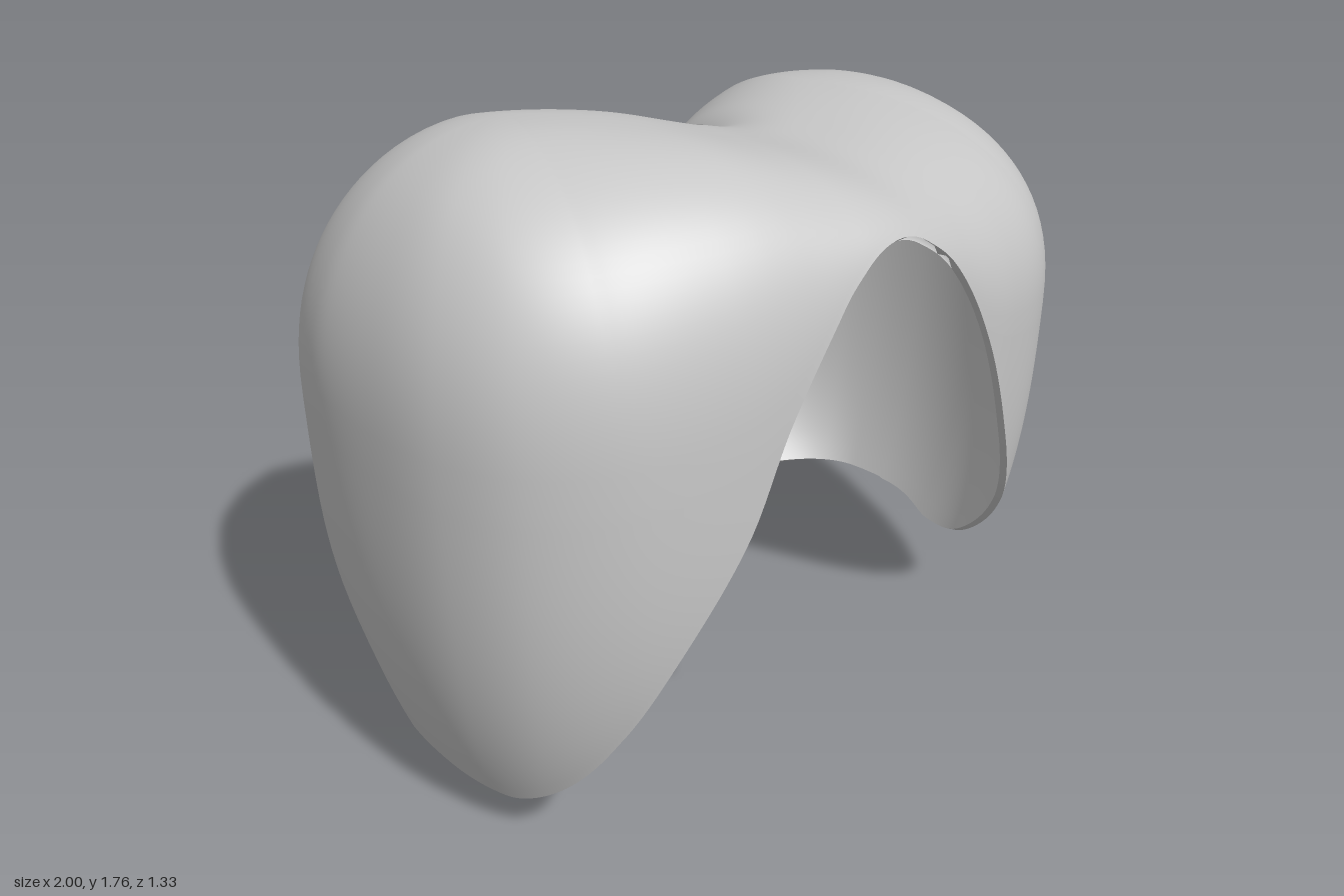
import * as THREE from 'three';
import { mergeVertices } from 'three/addons/utils/BufferGeometryUtils.js';

const { clamp, lerp, smoothstep } = THREE.MathUtils;

// Smooth lookup in a short list of [x, y] pairs
function lookup(table, x) {
  const last = table.length - 1;
  let i = 1;
  while (i < last && x > table[i][0]) i++;
  const slope = (k) => {
    const a = table[Math.max(0, k - 1)], b = table[Math.min(last, k + 1)];
    return (b[1] - a[1]) / (b[0] - a[0]);
  };
  const [x0, y0] = table[i - 1], [x1, y1] = table[i], w = x1 - x0;
  const t = clamp((x - x0) / w, 0, 1), s = 1 - t;
  return s * s * ((1 + 2 * t) * y0 + t * w * slope(i - 1)) + t * t * ((3 - 2 * t) * y1 - s * w * slope(i));
}

// Kidney-shaped plan [x, z]: front edge from -x to +x, then back edge from +x to -x
const PLAN = [
  [-1, 0], [-0.98, 0.22], [-0.9, 0.4], [-0.74, 0.54], [-0.48, 0.63], [-0.23, 0.658], [0, 0.66],
  [0.25, 0.66], [0.47, 0.64], [0.69, 0.57], [0.87, 0.41], [0.965, 0.19], [0.995, -0.05],
  [0.95, -0.32], [0.8, -0.57], [0.55, -0.67], [0.28, -0.52], [0.14, -0.22], [0, -0.19],
  [-0.2, -0.36], [-0.4, -0.61], [-0.6, -0.67], [-0.84, -0.54], [-0.965, -0.28],
];
// Crown height, and height of the lower rim, across x
const CROWN = [[-1, 1.7], [-0.8, 1.745], [-0.53, 1.762], [-0.3, 1.735], [-0.1, 1.675], [0.1, 1.615],
  [0.25, 1.603], [0.5, 1.6], [0.75, 1.595], [1, 1.57]];
const FRONT_RIM = [[-1, 0.15], [-0.94, 0.15], [-0.8, 0.3], [-0.62, 0.65], [-0.45, 0.95], [-0.35, 1.19],
  [-0.2, 1.42], [-0.12, 1.49], [-0.05, 1.52], [0.03, 1.52], [0.1, 1.49], [0.2, 1.4], [0.35, 1.15],
  [0.5, 0.82], [0.67, 0.5], [0.85, 0.24], [0.95, 0.17], [1, 0.2]];
const BACK_RIM = [[-1, 0.15], [-0.68, 0.17], [-0.58, 0.28], [-0.46, 0.5], [-0.38, 0.58], [-0.3, 0.6],
  [-0.22, 0.55], [-0.16, 0.45], [-0.13, 0.32], [-0.105, 0.5], [-0.08, 0.7], [-0.03, 0.83], [0.04, 0.86],
  [0.1, 0.84], [0.135, 0.74], [0.15, 0.48], [0.2, 0.6], [0.27, 0.68], [0.35, 0.64], [0.45, 0.5],
  [0.58, 0.3], [0.69, 0.2], [1, 0.2]];
// Openings: centre and radius
const HOLES = [
  [new THREE.Vector3(-0.12, 1.665, 0), 0.1],
  [new THREE.Vector3(0.04, 1.52, -0.152), 0.063],
];
const HALF = 192, DOME_ROWS = 26, WALL_ROWS = 20, THICKNESS = 0.02;

// Crown height at a point, falling away towards the back
function crown(x, z) {
  const fall = lerp(0.35, 0.2, smoothstep(x, -0.1, 0.3));
  return lookup(CROWN, x) - fall * Math.max(0, 0.1 - z) ** 2;
}

// One rib of the dome: from the crown ridge out and down to the rim
function rib(i, outline) {
  const front = i <= HALF;
  const t = front ? i / HALF : (2 * HALF - i) / HALF;
  const sx = -0.5 + clamp((t - 0.25) / 0.5, 0, 1);
  const sz = 0.22 - 1.28 * sx * sx;
  const o = outline.getPoint(i / (2 * HALF));
  const rim = lookup(front ? FRONT_RIM : BACK_RIM, o.x);
  const back = smoothstep(-o.z, 0.2, 0.6);
  const notch = 1 - smoothstep(Math.abs(o.x), 0.13, 0.37);
  const width = lerp(0.21, 0.3, smoothstep(o.z, -0.2, 0.4));
  const shoulder = 1.1 + 0.32 * Math.exp(-((o.x / width) ** 2)) - 0.1 * back;
  const power = 2 / (2.5 + 0.3 * smoothstep(o.z, -0.2, 0.4) * smoothstep(-o.x, 0, 0.4));
  const cut = Math.max(0, (rim - shoulder) / (crown(o.x, o.z) - shoulder));
  const end = Math.acos(Math.min(1, cut ** (1 / power)));
  const points = [];
  const add = (r, y) => points.push(new THREE.Vector3(sx + (o.x - sx) * r, y, sz + (o.z - sz) * r));
  for (let j = 0; j <= DOME_ROWS; j++) {
    const a = end * j / DOME_ROWS;
    const r = Math.sin(a) ** power;
    const top = crown(lerp(sx, o.x, r), lerp(sz, o.z, r));
    add(r, shoulder + (top - shoulder) * Math.max(0, Math.cos(a)) ** power);
  }
  const start = points[DOME_ROWS].y, r0 = Math.sin(end) ** power;
  for (let j = 1; j <= WALL_ROWS; j++) {
    const y = start + (Math.min(rim, start) - start) * j / WALL_ROWS;
    const q = Math.max(0, (1.2 - y) / 1.05);
    const lobeTaper = lerp(0.25 * q ** 3, 0.46 * q ** 5, back);
    add(r0 * (1 - lerp(lobeTaper, 0.65 * q ** 1.3, notch)), y);
  }
  return points;
}

// Outer skin as an indexed grid with the openings cut out
function outerSkin() {
  const outline = new THREE.CatmullRomCurve3(PLAN.map(([x, z]) => new THREE.Vector3(x, 0, z)), true);
  const rows = DOME_ROWS + WALL_ROWS + 1, ribs = 2 * HALF;
  const positions = [], index = [];
  for (let i = 0; i < ribs; i++) for (const p of rib(i, outline)) positions.push(p.x, p.y, p.z);
  for (let i = 0; i < ribs; i++) {
    for (let j = 0; j < rows - 1; j++) {
      const a = i * rows + j, b = ((i + 1) % ribs) * rows + j;
      index.push(a, a + 1, b, b, a + 1, b + 1);
    }
  }
  let skin = new THREE.BufferGeometry();
  skin.setAttribute('position', new THREE.Float32BufferAttribute(positions, 3));
  skin.setIndex(index);
  skin = mergeVertices(skin, 1e-4);
  skin.computeVertexNormals();

  // Drop faces inside an opening and pull its border onto a circle
  const pos = skin.attributes.position, p = new THREE.Vector3(), inside = new Array(pos.count).fill(false);
  for (let i = 0; i < pos.count; i++) {
    for (const [c, r] of HOLES) {
      p.fromBufferAttribute(pos, i);
      if (p.distanceTo(c) >= r) continue;
      inside[i] = true;
      p.sub(c).setLength(r).add(c);
      pos.setXYZ(i, p.x, p.y, p.z);
    }
  }
  const kept = [], old = skin.index.array;
  for (let k = 0; k < old.length; k += 3) {
    const [a, b, c] = [old[k], old[k + 1], old[k + 2]];
    if (a === b || b === c || c === a) continue;
    if (inside[a] && inside[b] && inside[c]) continue;
    kept.push(a, b, c);
  }
  skin.setIndex(kept);
  return skin;
}

// Inner skin: the outer one moved inwards and turned over
function innerSkin(outer) {
  const inner = outer.clone(), pos = inner.attributes.position, n = inner.attributes.normal;
  for (let i = 0; i < pos.count; i++) {
    pos.setXYZ(i, pos.getX(i) - n.getX(i) * THICKNESS, pos.getY(i) - n.getY(i) * THICKNESS,
      pos.getZ(i) - n.getZ(i) * THICKNESS);
    n.setXYZ(i, -n.getX(i), -n.getY(i), -n.getZ(i));
  }
  inner.setIndex(Array.from(outer.index.array).reverse());
  return inner;
}

// Narrow band closing every open edge between the two skins
function edgeBand(outer, inner) {
  const ix = outer.index.array, edges = new Set(), positions = [];
  const each = (fn) => {
    for (let k = 0; k < ix.length; k += 3) for (let e = 0; e < 3; e++) fn(ix[k + e], ix[k + (e + 1) % 3]);
  };
  each((a, b) => edges.add(a + '_' + b));
  const push = (g, i) => positions.push(...new THREE.Vector3().fromBufferAttribute(g.attributes.position, i));
  each((a, b) => {
    if (edges.has(b + '_' + a)) return;
    [[outer, b], [outer, a], [inner, a], [outer, b], [inner, a], [inner, b]].forEach(([g, i]) => push(g, i));
  });
  let band = new THREE.BufferGeometry();
  band.setAttribute('position', new THREE.Float32BufferAttribute(positions, 3));
  band = mergeVertices(band, 1e-5);
  band.computeVertexNormals();
  return band;
}

export function createModel() {
  const group = new THREE.Group();
  const grey = new THREE.MeshStandardMaterial({ color: 0xc8c8c8, side: THREE.DoubleSide });
  grey.name = 'light grey';
  const add = (name, geometry) => {
    const mesh = new THREE.Mesh(geometry, grey);
    mesh.name = name;
    group.add(mesh);
    return mesh;
  };

  const outer = outerSkin(), inner = innerSkin(outer);
  add('domeOuterSkin', outer);
  add('domeInnerSkin', inner);
  add('domeEdge', edgeBand(outer, inner));

  // Two slender tails hanging from the back notch
  const tails = {
    longTail: [[-0.113, 0.58, -0.12], [-0.115, 0.42, -0.055], [-0.107, 0.2, -0.015], [-0.1, 0.02, -0.02]],
    shortTail: [[0.152, 0.64, -0.125], [0.145, 0.45, -0.06], [0.125, 0.32, -0.03]],
  };
  for (const [name, points] of Object.entries(tails)) {
    const path = new THREE.CatmullRomCurve3(points.map((p) => new THREE.Vector3(...p)));
    add(name, new THREE.TubeGeometry(path, 24, 0.02, 12));
    add(name + 'Tip', new THREE.SphereGeometry(0.02, 12, 8)).position.set(...points[points.length - 1]);
  }
  return group;
}
